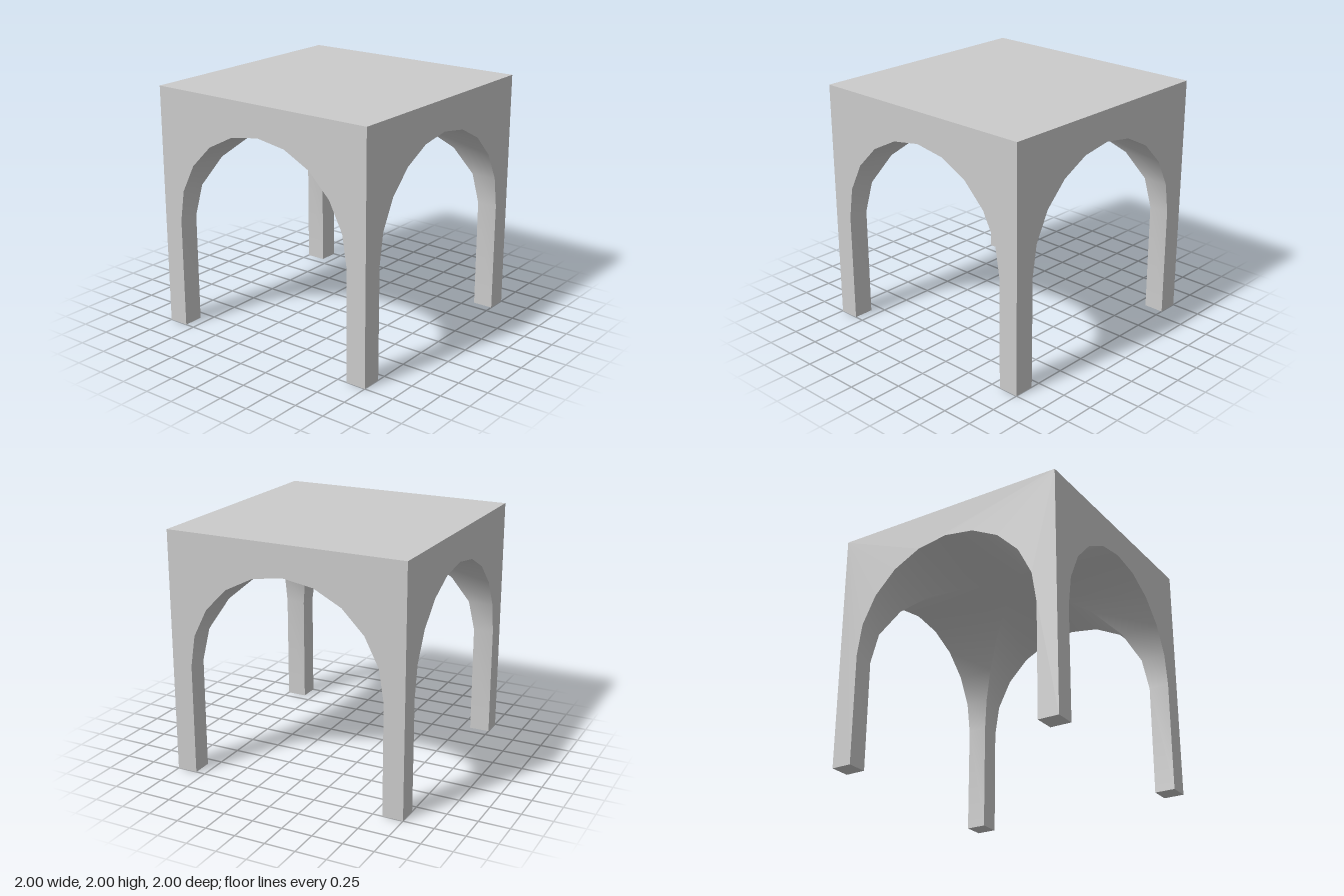
import * as THREE from 'three';
import { mergeGeometries, toCreasedNormals } from 'three/addons/utils/BufferGeometryUtils.js';

const HALF = 1, HEIGHT = 2;       // outer block
const RADIUS = 0.83, SPRING = 0.915; // arch radius and springing height
const SEGMENTS = 10;

// Arch outline from the left foot over the crown to the right foot
function archProfile() {
  const points = [new THREE.Vector2(-RADIUS, 0)];
  for (let i = 0; i <= SEGMENTS; i++) {
    const a = Math.PI * (1 - i / SEGMENTS);
    points.push(new THREE.Vector2(RADIUS * Math.cos(a), SPRING + RADIUS * Math.sin(a)));
  }
  points.push(new THREE.Vector2(RADIUS, 0));
  return points;
}

// One quarter of the groin vault: each strip runs from the facade to the diagonal groin
function vaultQuarter(profile) {
  const positions = [];
  for (let i = 0; i < profile.length - 1; i++) {
    const p = profile[i], q = profile[i + 1];
    const a = [p.x, p.y, HALF], b = [q.x, q.y, HALF];
    const c = [p.x, p.y, Math.abs(p.x)], d = [q.x, q.y, Math.abs(q.x)];
    positions.push(...a, ...c, ...b, ...b, ...c, ...d);
  }
  const geometry = new THREE.BufferGeometry();
  geometry.setAttribute('position', new THREE.Float32BufferAttribute(positions, 3));
  return geometry;
}

// Four copies turned about the vertical axis
function aroundFour(geometry) {
  return mergeGeometries([0, 1, 2, 3].map(i => geometry.clone().rotateY(i * Math.PI / 2)));
}

export function createModel() {
  const group = new THREE.Group();
  const material = new THREE.MeshStandardMaterial({ color: 0xcccccc, side: THREE.DoubleSide });
  const add = (name, geometry) => {
    const mesh = new THREE.Mesh(geometry, material);
    mesh.name = name;
    group.add(mesh);
  };
  const profile = archProfile();

  // Flat outer walls with the arched openings
  const wall = new THREE.Shape([
    new THREE.Vector2(-HALF, 0), ...profile, new THREE.Vector2(HALF, 0),
    new THREE.Vector2(HALF, HEIGHT), new THREE.Vector2(-HALF, HEIGHT),
  ]);
  add('archedWalls', aroundFour(new THREE.ShapeGeometry(wall).translate(0, 0, HALF)));

  // Crossing barrel vaults and inner pillar faces, smooth except along the groins
  add('groinVault', toCreasedNormals(aroundFour(vaultQuarter(profile)), Math.PI / 6));

  // Flat roof
  add('roof', new THREE.PlaneGeometry(2 * HALF, 2 * HALF).rotateX(-Math.PI / 2).translate(0, HEIGHT, 0));

  // Undersides of the four pillars
  const size = HALF - RADIUS, centre = (HALF + RADIUS) / 2;
  add('pillarFeet', aroundFour(
    new THREE.PlaneGeometry(size, size).rotateX(Math.PI / 2).translate(centre, 0, centre)));

  return group;
}
